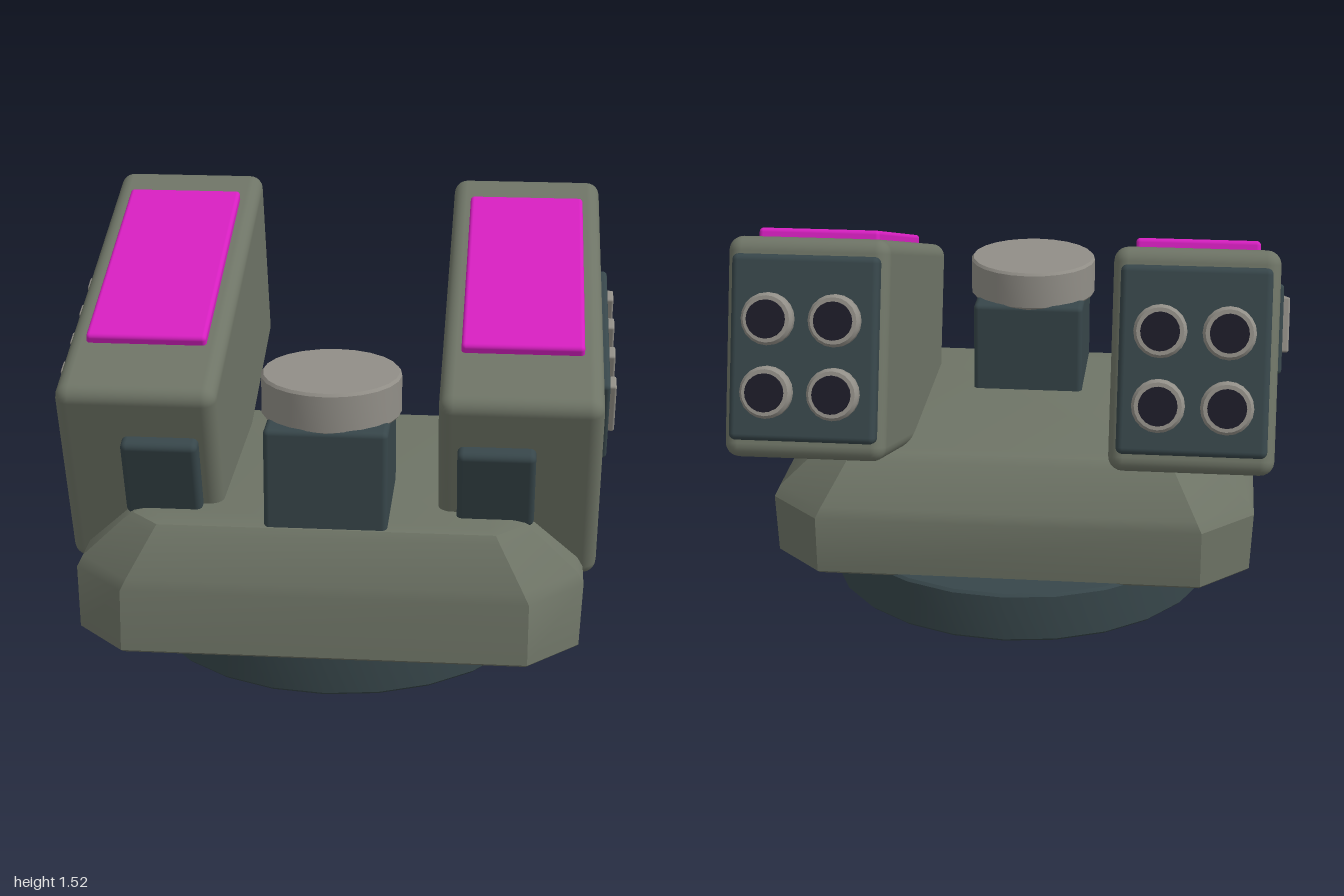
import * as THREE from 'three';
import { toCreasedNormals } from 'three/addons/utils/BufferGeometryUtils.js';
import { RoundedBoxGeometry } from 'three/addons/geometries/RoundedBoxGeometry.js';

const paint = (name, color) => {
  const m = new THREE.MeshStandardMaterial({ color });
  m.name = name;
  return m;
};

export function createModel() {
  const olive = paint('olive armour', 0x6e7466);
  const slate = paint('dark slate', 0x37464a);
  const grey = paint('light grey', 0x918e87);
  const magenta = paint('magenta panel', 0xd61fc0);
  const black = paint('muzzle black', 0x1c1b27);

  const model = new THREE.Group();
  model.name = 'launcherTurret';

  const add = (parent, name, geometry, material, x = 0, y = 0, z = 0) => {
    const mesh = new THREE.Mesh(geometry, material);
    mesh.name = name;
    mesh.position.set(x, y, z);
    parent.add(mesh);
    return mesh;
  };
  const box = (w, h, d, r) => new RoundedBoxGeometry(w, h, d, 3, r);
  // Turned solid from [radius, height] points, closed on the axis
  const turned = (points, sides) => toCreasedNormals(
    new THREE.LatheGeometry(points.map(p => new THREE.Vector2(...p)), sides), 0.5);

  // Round base
  add(model, 'base', turned([[0, 0], [0.725, 0], [0.735, 0.01], [0.735, 0.18],
    [0.725, 0.19], [0, 0.19]], 24), slate, 0, 0, 0.125);

  // Hull: stacked eight-sided rings with cut corners
  // [y, half width, front z, back z, corner cut]
  const rings = [
    [0.178, 0.875, 0.925, -0.46, 0.17], [0.19, 0.89, 0.94, -0.475, 0.18],
    [0.41, 0.9, 0.922, -0.49, 0.19], [0.45, 0.88, 0.912, -0.475, 0.19],
    [0.6, 0.725, 0.845, -0.375, 0.12], [0.625, 0.69, 0.825, -0.345, 0.1],
    [0.635, 0.65, 0.79, -0.31, 0.09],
  ].map(([y, w, f, b, c]) => [
    [w - c, y, f], [w, y, f - c], [w, y, b + c], [w - c, y, b],
    [c - w, y, b], [-w, y, b + c], [-w, y, f - c], [c - w, y, f]]);
  const hullPoints = rings.flat(2);
  const faces = [];
  for (let r = 0; r < rings.length - 1; r++) {
    for (let i = 0; i < 8; i++) {
      const a = r * 8 + i, b = r * 8 + (i + 1) % 8;
      faces.push(a, b, b + 8, a, b + 8, a + 8);
    }
  }
  const top = (rings.length - 1) * 8;
  for (let i = 1; i < 7; i++) faces.push(0, i + 1, i, top, top + i, top + i + 1);
  const hull = new THREE.BufferGeometry();
  hull.setAttribute('position', new THREE.Float32BufferAttribute(hullPoints, 3));
  hull.setIndex(faces);
  add(model, 'hull', toCreasedNormals(hull, 0.45), olive);

  // Sensor post with round cap
  add(model, 'sensorPost', box(0.43, 0.4, 0.49, 0.02), slate, 0, 0.785, 0.575);
  add(model, 'sensorCap', turned([[0, 0], [0.24, 0], [0.248, 0.01], [0.248, 0.14],
    [0.24, 0.15], [0, 0.15]], 24), grey, 0, 0.97, 0.57);

  // Launcher pods, tilted with the muzzles raised at the back
  const ringGeo = turned([[0, -0.02], [0.075, -0.02], [0.075, 0.012], [0.09, 0.025],
    [0.09, 0.055], [0.08, 0.07], [0, 0.07]], 20);
  const boreGeo = turned([[0, 0], [0.066, 0], [0.066, 0.085], [0, 0.085]], 20);

  for (const side of [1, -1]) {
    const pod = new THREE.Group();
    pod.name = side > 0 ? 'leftPod' : 'rightPod';
    pod.position.set(side * 0.665, 0.945, -0.037);
    pod.rotation.x = 0.3;
    model.add(pod);

    add(pod, 'podBody', box(0.565, 0.765, 1.495, 0.05), olive);
    add(pod, 'topPanel', box(0.43, 0.06, 1.0, 0.015), magenta, 0, 0.385, -0.05);
    add(pod, 'frontBlock', box(0.27, 0.31, 0.12, 0.022), slate, -side * 0.08, 0.045, 0.742);
    add(pod, 'muzzlePlate', box(0.51, 0.64, 0.1, 0.022), slate, 0, 0.002, -0.745);

    // Four launch tubes
    for (const x of [-0.115, 0.115]) {
      for (const y of [-0.147, 0.103]) {
        add(pod, 'tubeRing', ringGeo, grey, x, y, -0.795).rotation.x = -Math.PI / 2;
        add(pod, 'tubeBore', boreGeo, black, x, y, -0.795).rotation.x = -Math.PI / 2;
      }
    }

    // Outer vent with slats
    add(pod, 'ventPanel', box(0.06, 0.325, 0.74, 0.015), slate, side * 0.28, 0.105, 0.1);
    for (let i = 0; i < 4; i++) {
      add(pod, 'ventSlat', box(0.04, 0.2, 0.068, 0.008), grey,
        side * 0.315, 0.12, 0.1 + (i - 1.5) * 0.182);
    }
  }
  return model;
}
